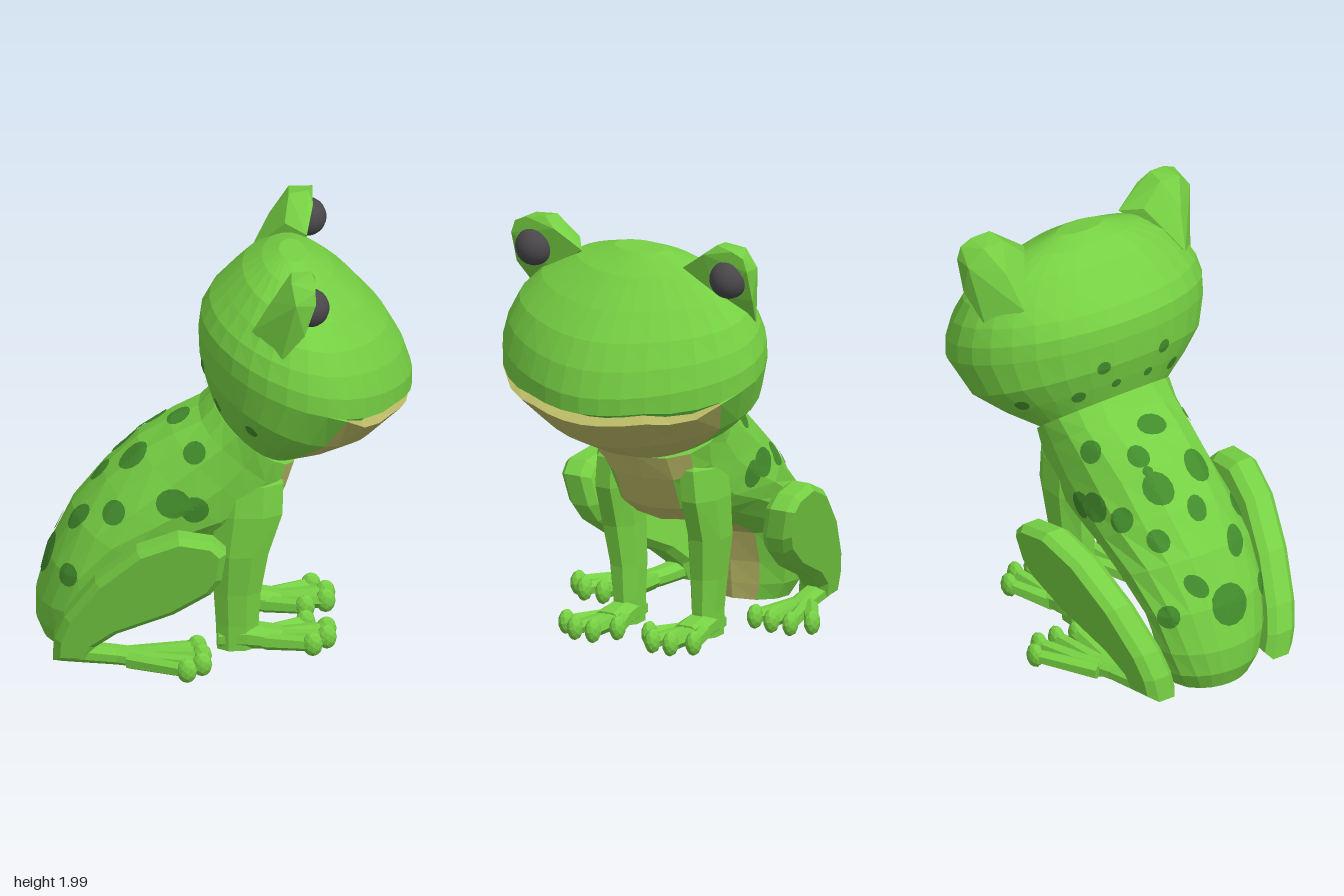
import * as THREE from 'three';
import { ConvexGeometry } from 'three/addons/geometries/ConvexGeometry.js';

const mat = (name, color) => {
  const m = new THREE.MeshStandardMaterial({ color });
  m.name = name;
  return m;
};
const V = (x, y, z) => new THREE.Vector3(x, y, z);

// Faceted geometry from flat triangle list
function fromTriangles(pos) {
  const g = new THREE.BufferGeometry();
  g.setAttribute('position', new THREE.Float32BufferAttribute(pos, 3));
  g.computeVertexNormals();
  return g;
}

// Skin rings of equal length, capping both ends; pick(i, j) chooses the material of a quad
function loft(rings, pick = () => 0) {
  const tris = [[], [], []];
  let volume = 0;
  const add = (k, a, b, c) => {
    const n = b.clone().sub(a).cross(c.clone().sub(a));
    if (n.length() < 1e-7) return;
    volume += a.dot(b.clone().cross(c));
    tris[k].push([a, b, c]);
  };
  const n = rings[0].length;
  for (let i = 0; i < rings.length - 1; i++) for (let j = 0; j < n; j++) {
    const k = pick(i, j), j2 = (j + 1) % n;
    const a = rings[i][j], b = rings[i][j2], c = rings[i + 1][j2], d = rings[i + 1][j];
    add(k, a, b, c);
    add(k, a, c, d);
  }
  [rings[0], rings[rings.length - 1]].forEach((r, end) => {
    const mid = r.reduce((s, p) => s.add(p), V(0, 0, 0)).divideScalar(n);
    r.forEach((p, j) => {
      const q = r[(j + 1) % n];
      end ? add(0, mid, p, q) : add(0, mid, q, p);
    });
  });
  const parts = tris.map(t => t.flatMap(([a, b, c]) => (volume > 0 ? [a, b, c] : [a, c, b]).flatMap(p => p.toArray())));
  const g = fromTriangles(parts.flat());
  let start = 0;
  parts.forEach((p, k) => {
    if (p.length) g.addGroup(start, p.length / 3, k);
    start += p.length / 3;
  });
  return g;
}

// Tilted oval ring: back point, front point, half width, column shift and squareness
function oval([bx, by, fx, fy, w, warp = 0, power = 1], n, nose = 0) {
  const soft = v => Math.sign(v) * Math.abs(v) ** power;
  return Array.from({ length: n }, (_, j) => {
    const t0 = (j / n) * Math.PI * 2, t = t0 - warp * Math.sin(t0);
    const c = soft(Math.cos(t)), k = (c + 1) / 2;
    const narrow = 1 - nose * Math.max(0, c) ** 2;
    return V(bx + (fx - bx) * k, by + (fy - by) * k, w * soft(Math.sin(t)) * narrow);
  });
}

function rod(a, b, ra, rb) {
  const d = b.clone().sub(a);
  const g = new THREE.CylinderGeometry(rb, ra, d.length(), 6);
  g.applyQuaternion(new THREE.Quaternion().setFromUnitVectors(V(0, 1, 0), d.normalize()));
  const m = a.clone().add(b).multiplyScalar(0.5);
  return g.translate(m.x, m.y, m.z);
}

function facet(g) {
  const f = g.index ? g.toNonIndexed() : g;
  f.computeVertexNormals();
  return f;
}

function mirrorZ(g) {
  const p = g.attributes.position.array, out = [];
  for (let i = 0; i < p.length; i += 9)
    for (const k of [0, 6, 3]) out.push(p[i + k], p[i + k + 1], -p[i + k + 2]);
  return fromTriangles(out);
}

export function createModel() {
  const green = mat('skin green', 0x76d043), cream = mat('belly khaki', 0xbab966);
  const dark = mat('spot green', 0x428c2c), grey = mat('eye grey', 0x4a484b);
  const frog = new THREE.Group();
  frog.name = 'frog';
  const put = (name, g, m) => {
    const mesh = new THREE.Mesh(g, m);
    mesh.name = name;
    frog.add(mesh);
    return mesh;
  };
  const pair = (name, g) => {
    const f = facet(g);
    f.clearGroups();
    put(name + 'Left', f, green);
    put(name + 'Right', mirrorZ(f), green);
  };

  // Body with a pale belly strip that widens at the throat
  const bodyRings = [
    [-0.83, 0.012, -0.51, 0.012, 0.2, -0.5], [-0.865, 0.1, -0.5, 0.09, 0.25, -0.45], [-0.865, 0.22, -0.49, 0.2, 0.28, -0.35],
    [-0.81, 0.42, -0.45, 0.35, 0.31, -0.25], [-0.7, 0.65, -0.28, 0.43, 0.335, -0.15], [-0.56, 0.83, -0.09, 0.5, 0.34],
    [-0.4, 0.98, 0.12, 0.55, 0.33, 0, 0.9], [-0.25, 1.07, 0.22, 0.63, 0.325, 0, 0.78],
    [-0.12, 1.13, 0.29, 0.79, 0.325, 0, 0.75], [-0.06, 1.2, 0.33, 0.9, 0.34, 0, 0.9],
  ].map(r => oval(r, 16));
  const body = put('body', loft(bodyRings, (i, j) => {
    const reach = i > 7 ? 2 : 1;
    return j < reach || j >= 16 - reach ? 1 : 0;
  }), [green, cream]);

  // Head: jaw rings, mouth groove between the lips, then the skull
  const N = 32, nose = 0.23;
  const lip = oval([-0.12, 1.53, 0.86, 1.22, 0.655], N, nose);
  const mouth = (scale, dy) => lip.map(p => {
    const m = THREE.MathUtils.clamp((p.x - 0.53) / 0.25, 0, 1), s = 1 - (1 - scale) * m;
    const open = Math.min(1, m * 2), sag = 0.1 * m * (1 - m);
    return V(0.37 + (p.x - 0.37) * s, p.y + dy * open - sag, p.z * s);
  });
  const jaw = [[-0.06, 1.2, 0.33, 0.9, 0.34, 0.42], [-0.09, 1.3, 0.5, 0.955, 0.47, 0.15],
    [-0.115, 1.4, 0.68, 1.04, 0.59, 0.05]].map(r => oval(r, N, nose));
  const skull = [[-0.11, 1.61, 0.86, 1.32, 0.655], [-0.07, 1.68, 0.82, 1.44, 0.63], [0, 1.75, 0.75, 1.56, 0.58],
    [0.08, 1.83, 0.64, 1.68, 0.48], [0.17, 1.885, 0.5, 1.81, 0.32], [0.25, 1.915, 0.38, 1.895, 0.13]]
    .map(r => oval(r, N, nose));
  const headRings = [...jaw, mouth(0.96, -0.035), mouth(0.8, -0.015), mouth(0.8, 0.025), mouth(1, 0.022), ...skull];
  const head = put('head', loft(headRings, (i, j) => {
    const front = j < 6 || j >= N - 6;
    if (!front || i > 4) return 0;
    return i < 4 ? 1 : 2;
  }), [green, cream, dark]);

  // Eye bumps and eyeballs
  pair('eyeBump', new ConvexGeometry([
    [0.3, 1.99, 0.45], [0.39, 2, 0.46], [0.41, 1.985, 0.55], [0.3, 1.98, 0.56], [0.41, 1.9, 0.63], [0.32, 1.9, 0.635],
    [0.41, 1.96, 0.61], [0.36, 1.75, 0.63], [0.25, 1.6, 0.585], [0.12, 1.7, 0.46], [0.21, 1.87, 0.5], [0.38, 1.86, 0.27],
    [0.28, 1.89, 0.34], [0.41, 1.95, 0.4], [0.38, 1.76, 0.45],
  ].map(p => V(...p))));
  for (const s of [1, -1]) {
    const ball = new THREE.SphereGeometry(0.09, 18, 12);
    put(s > 0 ? 'eyeLeft' : 'eyeRight', ball, grey).position.set(0.385, 1.845, s * 0.52);
  }

  // Front legs: stacked ovals [y, centre x, half x, centre z, half z]
  const arm = [[0.98, 0.09, 0.09, 0.2, 0.05], [0.85, 0.115, 0.155, 0.22, 0.09], [0.7, 0.105, 0.16, 0.23, 0.095],
    [0.5, 0.07, 0.13, 0.23, 0.09], [0.3, 0.055, 0.11, 0.215, 0.075], [0.14, 0.055, 0.1, 0.21, 0.065],
    [0.015, 0.05, 0.09, 0.21, 0.06]];
  pair('frontLeg', loft(arm.map(([y, cx, rx, cz, rz]) => Array.from({ length: 8 }, (_, j) => {
    const t = ((j + 0.5) / 8) * Math.PI * 2;
    return V(cx + rx * 1.06 * Math.cos(t), y, cz + rz * 1.06 * Math.sin(t));
  }))));

  // Feet: flattened sole, toes and rounded toe tips
  const sole = (stations) => loft(stations.map(([x, cz, w, top]) => Array.from({ length: 8 }, (_, j) => {
    const t = ((j + 0.5) / 8) * Math.PI * 2;
    return V(x, 0.012 + top / 2 + (top / 2) * Math.sin(t), cz + w * Math.cos(t));
  })));
  const toe = (name, from, to) => {
    pair(name, rod(from, to, 0.042, 0.034));
    const tip = new THREE.IcosahedronGeometry(0.052, 1);
    tip.scale(0.9, 1.15, 0.68).translate(to.x, to.y, to.z);
    pair(name + 'Tip', tip);
  };
  pair('frontFoot', sole([[-0.03, 0.21, 0.05, 0.1], [0.1, 0.21, 0.075, 0.13], [0.26, 0.21, 0.09, 0.1]]));
  [[0.37, 0.085], [0.465, 0.16], [0.465, 0.255], [0.4, 0.34]].forEach(([x, z], i) =>
    toe('frontToe' + (i + 1), V(0.18, 0.06, 0.17 + i * 0.028), V(x, 0.08, z)));
  pair('hindFoot', sole([[-0.77, 0.35, 0.04, 0.1], [-0.68, 0.36, 0.06, 0.1],
    [-0.5, 0.39, 0.06, 0.09], [-0.36, 0.43, 0.065, 0.085]]));
  [[-0.13, 0.35], [-0.11, 0.45], [-0.11, 0.55], [-0.18, 0.625]].forEach(([x, z], i) =>
    toe('hindToe' + (i + 1), V(-0.44, 0.055, 0.385 + i * 0.024), V(x, 0.075, z)));

  // Thighs: bevelled slab leaning outwards towards the knee
  const outline = [[-0.79, 0.02], [-0.785, 0.14], [-0.74, 0.26], [-0.6, 0.46], [-0.41, 0.64], [-0.22, 0.725],
    [-0.06, 0.705], [0, 0.645], [-0.02, 0.5], [-0.07, 0.42], [-0.24, 0.3], [-0.5, 0.18], [-0.6, 0.1], [-0.63, 0.02]];
  const thigh = new THREE.ExtrudeGeometry(new THREE.Shape(outline.map(p => new THREE.Vector2(...p))), {
    depth: 0.085, bevelThickness: 0.035, bevelSize: 0.03, bevelOffset: -0.03, bevelSegments: 1,
  });
  const tp = thigh.attributes.position;
  for (let i = 0; i < tp.count; i++)
    tp.setZ(i, tp.getZ(i) + 0.305 + 0.12 * (tp.getX(i) + 0.75) + 0.21 * (tp.getY(i) - 0.1));
  pair('thigh', thigh);

  // Spots: thin patches draped over the skin
  const caster = new THREE.Raycaster();
  const cast = (mesh, from, dir) => {
    caster.set(from, dir);
    return caster.intersectObject(mesh)[0];
  };
  function spot(mesh, from, dir, r1, r2 = r1) {
    const hit = cast(mesh, from, dir);
    if (!hit) return;
    const n = hit.face.normal.clone(), back = n.clone().negate();
    const t1 = V(1, 0, 0).addScaledVector(n, -n.x).normalize(), t2 = n.clone().cross(t1);
    const at = (k, j) => {
      const a = (j / 14) * Math.PI * 2;
      const p = hit.point.clone().addScaledVector(t1, r1 * k * Math.cos(a)).addScaledVector(t2, r2 * k * Math.sin(a));
      const h = cast(mesh, p.clone().addScaledVector(n, 0.15), back);
      return (h ? h.point : p).clone().addScaledVector(n, 0.007).toArray();
    };
    const pos = [];
    for (let k = 0; k < 3; k++) for (let j = 0; j < 14; j++) {
      const a = at(k / 3, j), b = at((k + 1) / 3, j), c = at((k + 1) / 3, j + 1), d = at(k / 3, j + 1);
      pos.push(...a, ...b, ...c);
      if (k) pos.push(...a, ...c, ...d);
    }
    put('spot', fromTriangles(pos), dark);
  }
  // Spots along the back [x, z, radii]
  [[-0.45, -0.12, 0.085, 0.07], [-0.38, -0.13, 0.025], [-0.31, -0.13, 0.06, 0.05], [-0.57, -0.21, 0.06, 0.05],
    [-0.74, -0.12, 0.07, 0.045], [-0.81, 0.02, 0.1, 0.1], [-0.57, 0.01, 0.065, 0.05], [-0.67, 0.15, 0.08, 0.055],
    [-0.42, 0.12, 0.085, 0.07], [-0.21, 0.02, 0.06, 0.075], [-0.51, 0.27, 0.06], [-0.4, -0.29, 0.06]]
    .forEach(([x, z, a, b]) => spot(body, V(x, 3, z), V(0, -1, 0), a, b));
  // Spots on the flanks and around the neck, on both sides
  for (const s of [1, -1]) {
    [[-0.72, 0.4, 0.055], [-0.24, 0.78, 0.08, 0.07], [-0.14, 0.75, 0.065], [-0.14, 1.01, 0.055]]
      .forEach(([x, y, a, b]) => spot(body, V(x, y, s * 2), V(0, 0, -s), a, b));
    [[-0.03, 1.25, 0.035], [0.12, 1.21, 0.035]]
      .forEach(([x, y, a]) => spot(head, V(x, y, s * 2), V(0, 0, -s), a));
    [[1.4, 0.17, 0.035], [1.29, 0.09, 0.025]]
      .forEach(([y, z, a]) => spot(head, V(-2, y, s * z), V(1, 0, 0), a));
  }
  return frog;
}
